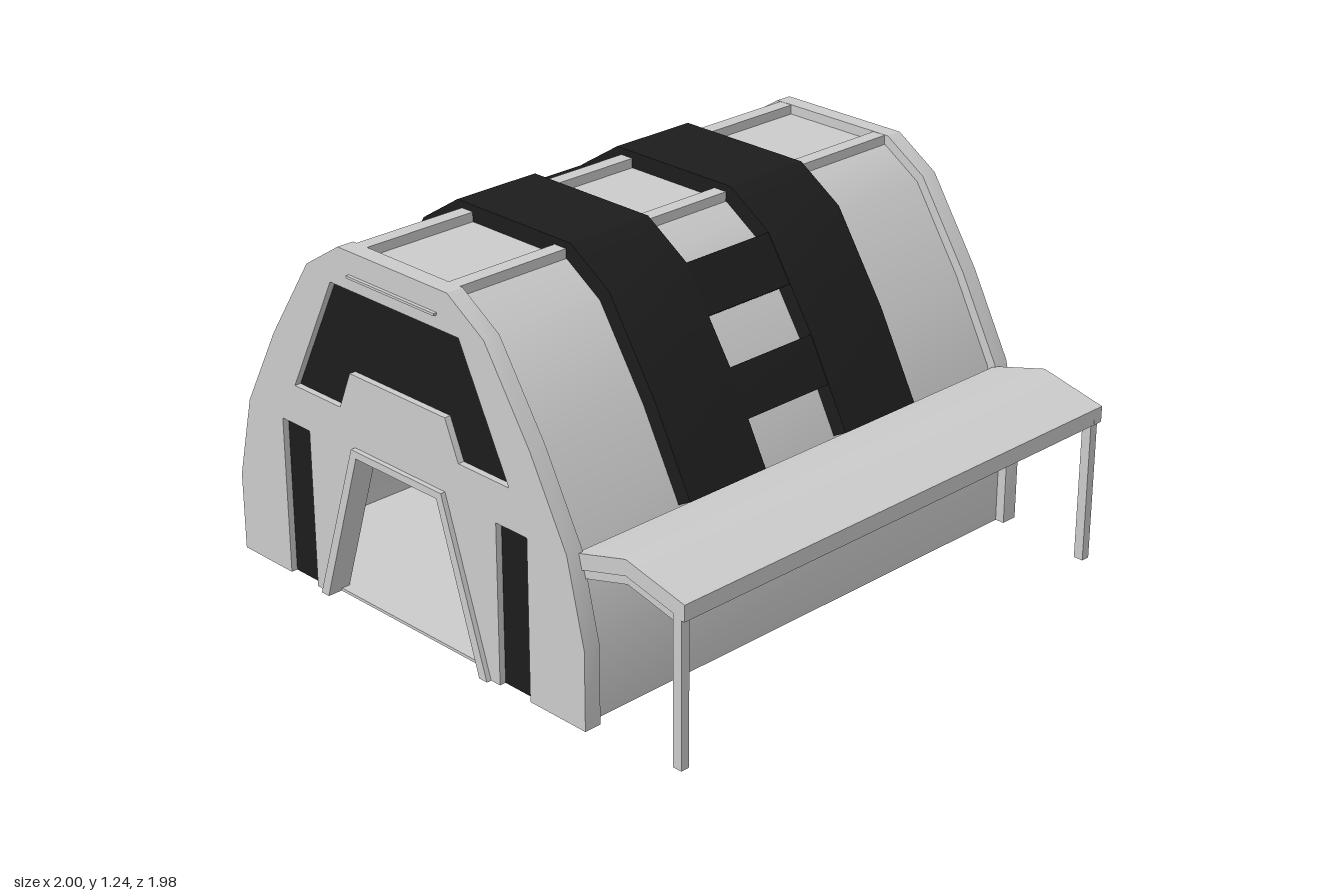
import * as THREE from 'three';
import { toCreasedNormals } from 'three/addons/utils/BufferGeometryUtils.js';

const CX = -0.17; // centre line of the arch
const grey = new THREE.MeshStandardMaterial({ color: 0xcccccc });
const black = new THREE.MeshStandardMaterial({ color: 0x1c1c1c });

// Outer arch: half widths and heights, mirrored about the centre line
const half = [[0.83, 0], [0.83, 0.27], [0.76, 0.56], [0.61, 0.84], [0.42, 1.13], [0.255, 1.235]];
const risingSide = half.map(([w, y]) => new THREE.Vector2(CX - w, y));
const fallingSide = half.map(([w, y]) => new THREE.Vector2(CX + w, y)).reverse();
const arch = [...risingSide, ...fallingSide];

// Move a polyline inward by d with mitred corners
function inset(pts, d) {
  const normals = pts.slice(1).map((p, i) => {
    const t = p.clone().sub(pts[i]).normalize();
    return new THREE.Vector2(t.y, -t.x);
  });
  return pts.map((p, i) => {
    const a = normals[Math.max(i - 1, 0)], b = normals[Math.min(i, normals.length - 1)];
    const m = a.clone().add(b).normalize();
    return p.clone().addScaledVector(m, d / m.dot(a));
  });
}

// Part of one side of the arch between two heights
function between(pts, y0, y1) {
  const out = [];
  for (let i = 0; i + 1 < pts.length; i++) {
    const a = pts[i], b = pts[i + 1];
    const ts = [0, 1, (y0 - a.y) / (b.y - a.y), (y1 - a.y) / (b.y - a.y)];
    ts.filter(t => t >= 0 && t <= 1).sort((p, q) => p - q).forEach(t => {
      const p = a.clone().lerp(b, t);
      const last = out[out.length - 1];
      const repeated = last && last.distanceTo(p) < 1e-4;
      if (p.y > y0 - 1e-6 && p.y < y1 + 1e-6 && !repeated) out.push(p);
    });
  }
  return out;
}

// Curved strip lying between two depths under a polyline
const strip = (pts, d0, d1) => [...inset(pts, d0), ...inset(pts, d1).reverse()];

// Symmetric outline from [half width, y] pairs
const mirrored = pairs => [
  ...pairs.map(([w, y]) => new THREE.Vector2(CX + w, y)),
  ...pairs.map(([w, y]) => new THREE.Vector2(CX - w, y)).reverse(),
];

function extrude(name, points, z0, z1, material = grey, holes = []) {
  const shape = new THREE.Shape(points);
  shape.holes = holes.map(h => new THREE.Path(h));
  const geo = new THREE.ExtrudeGeometry(shape, { depth: z1 - z0, bevelEnabled: false });
  const mesh = new THREE.Mesh(toCreasedNormals(geo, 0.5), material);
  mesh.position.z = z0;
  mesh.name = name;
  return mesh;
}

function box(name, x0, x1, y0, y1, z0, z1, material = grey) {
  const mesh = new THREE.Mesh(new THREE.BoxGeometry(x1 - x0, y1 - y0, z1 - z0), material);
  mesh.position.set((x0 + x1) / 2, (y0 + y1) / 2, (z0 + z1) / 2);
  mesh.name = name;
  return mesh;
}

const crest = mirrored([[0.22, 0.81], [0.275, 0.68], [0.497, 0.68], [0.293, 1.087]]);

// End wall with a doorway, recessed dark panels and a thin ledge
function endWall(name, z0, z1, facing) {
  const g = new THREE.Group();
  g.name = name;
  // Bottom edge with the doorway and two side slots cut in
  const bottom = mirrored([[0.57, 0], [0.57, 0.545], [0.435, 0.545], [0.435, 0],
    [0.37, 0], [0.196, 0.55]]);
  g.add(extrude('wall', [...inset(arch, 0.022), ...bottom], z0, z1, grey, [crest]));
  const p0 = facing > 0 ? z0 + 0.004 : z0 + 0.022;
  const p1 = facing > 0 ? z1 - 0.022 : z1 - 0.004;
  g.add(extrude('crestPanel', crest, p0, p1, black));
  for (const x of [CX - 0.5025, CX + 0.5025])
    g.add(box('sidePanel', x - 0.0675, x + 0.0675, 0, 0.545, p0, p1, black));
  const face = facing > 0 ? z1 : z0;
  g.add(box('ledge', CX - 0.2, CX + 0.2, 1.13, 1.138, face - 0.012, face + 0.012));
  return g;
}

// Folded canopy section, given its outer end and the depths of its two faces
function fold(x1, top, bottom) {
  const line = [[0.56, 0.54], [0.765, 0.597], [x1, 0.543 + (1 - x1) * 0.23]];
  const lowered = d => line.map(([x, y]) => new THREE.Vector2(x, y - d));
  return [...lowered(top), ...lowered(bottom).reverse()];
}

export function createModel() {
  const model = new THREE.Group();
  model.name = 'archedShelter';

  // Hollow vault, floor and crest beams
  model.add(extrude('vault', strip(arch, 0.055, 0.075), -0.925, 0.915));
  model.add(box('floor', CX - 0.775, CX + 0.775, 0, 0.01, -0.945, 0.935));
  for (const x of [CX - 0.21, CX + 0.21])
    model.add(box('crestBeam', x - 0.025, x + 0.025, 1.17, 1.212, -0.925, 0.915));

  // End walls
  model.add(endWall('frontWall', 0.91, 0.97, 1));
  model.add(endWall('backWall', -0.978, -0.92, -1));

  // Raised frame round the front doorway
  const frameOuter = mirrored([[0.395, 0], [0.21, 0.565]]);
  const frameInner = mirrored([[0.36, 0], [0.188, 0.54]]).reverse();
  model.add(extrude('doorFrame', [...frameOuter, ...frameInner], 0.905, 0.987));

  // Two dark bands over the vault, ending above the canopy on the left
  const bandLine = arch.slice(0, -2);
  for (const [z0, z1] of [[-0.5, -0.18], [0.175, 0.495]])
    model.add(extrude('band', strip(bandLine, 0, 0.06), z0, z1, black));

  // Cross pieces joining the bands
  const joins = [[risingSide, 0.985, 1.13], [risingSide, 0.7, 0.845], [risingSide, 0.4, 0.56],
    [fallingSide, 0.985, 1.13], [fallingSide, 0.7, 0.845]];
  for (const [side, y0, y1] of joins)
    model.add(extrude('bandJoin', strip(between(side, y0, y1), 0.002, 0.06), -0.185, 0.18, black));

  // Side canopy: folded roof, deeper end ribs, outer lip and posts
  const canopy = new THREE.Group();
  canopy.name = 'canopy';
  canopy.add(extrude('canopyRoof', fold(1, 0, 0.035), -0.93, 0.925));
  for (const [z0, z1] of [[-0.93, -0.895], [0.89, 0.925]]) {
    canopy.add(extrude('canopyEdge', fold(1, 0.03, 0.053), z0, z1));
    canopy.add(extrude('canopyRib', fold(0.985, 0.05, 0.083), z0 + 0.008, z1 - 0.008));
    canopy.add(box('canopyPost', 0.952, 0.986, 0, 0.51, z0 + 0.002, z1 - 0.002));
  }
  canopy.add(box('canopyLip', 0.965, 0.999, 0.488, 0.54, -0.929, 0.924));
  model.add(canopy);
  return model;
}
